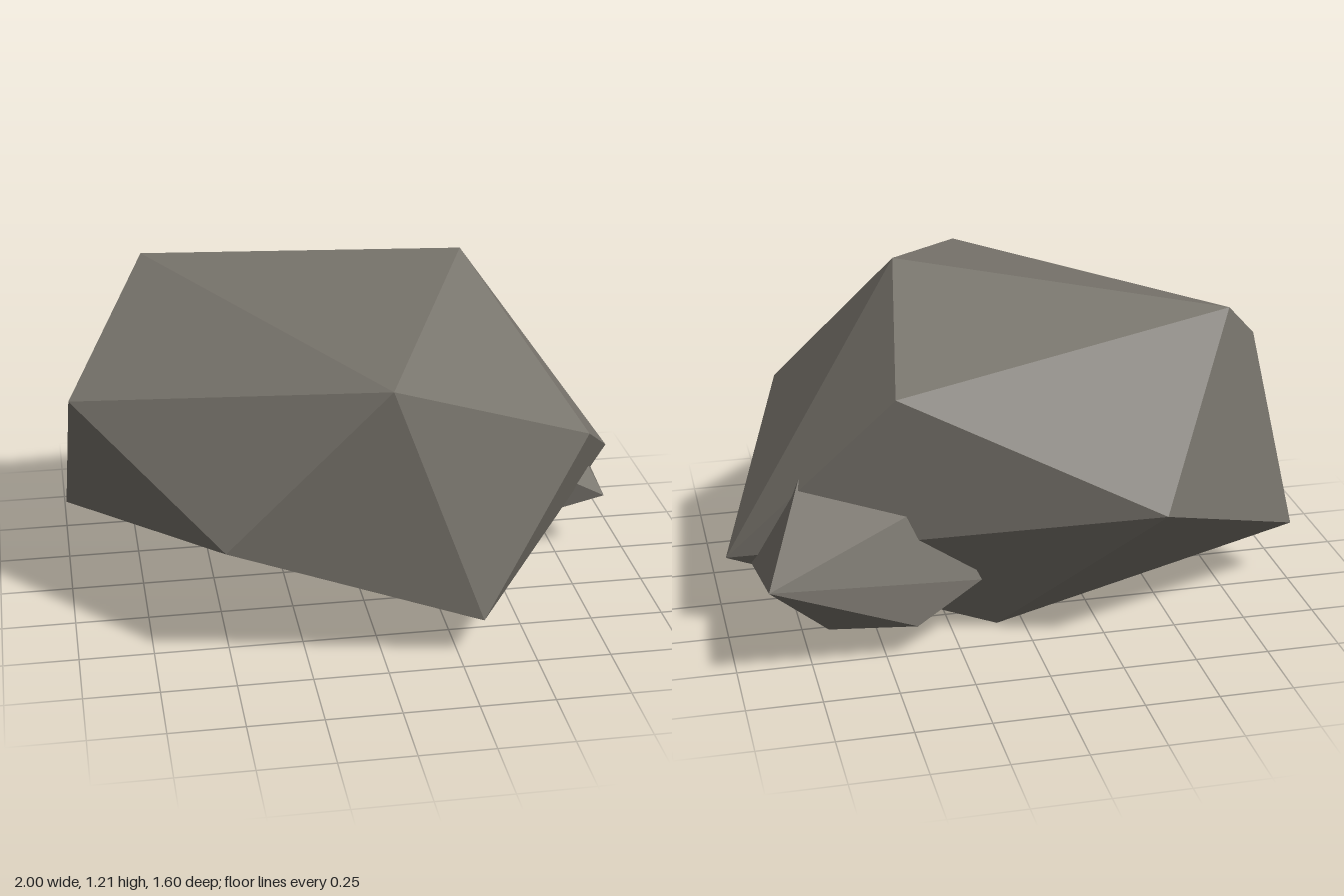
import * as THREE from 'three';
import { ConvexGeometry } from 'three/addons/geometries/ConvexGeometry.js';

// A faceted boulder: the convex skin around a few corner points
function makeRock(name, corners, material) {
  const points = corners.map(c => new THREE.Vector3(...c));
  const mesh = new THREE.Mesh(new ConvexGeometry(points), material);
  mesh.name = name;
  return mesh;
}

export function createModel() {
  const stone = new THREE.MeshStandardMaterial({ color: 0x78746c, flatShading: true });
  stone.name = 'stone';
  const group = new THREE.Group();
  group.name = 'rocks';

  // Large boulder
  group.add(makeRock('largeBoulder', [
    [0.36, 1.21, 0.045], [-0.69, 1.1, -0.385], [0, 1.02, 0.795], [0.45, 0.91, -0.485], // crown
    [-0.98, 0.79, 0.17], [0.73, 0.67, 0.44], [-0.37, 0.56, -0.8], [-0.52, 0.45, 0.69], // waist
    [0.995, 0.3, -0.25], [-1, 0.22, -0.25], [0.325, 0.145, 0.71], [0.09, 0, -0.35],    // foot
  ], stone));

  // Small rock, partly sunk into the boulder's back left foot
  group.add(makeRock('smallRock', [
    [0.9, 0.365, -0.67], [0.92, 0.22, 0.01], [0.66, 0, -0.27],   // outer corners
    [0.4, 0.125, -0.545], [0.33, 0.08, 0.01],                    // lower corners
    [0.71, 0.65, -0.22], [0.48, 0.48, 0.09],                     // buried corners
    [0.31, 0.53, -0.44], [0.17, 0.24, -0.48],
  ], stone));

  return group;
}
